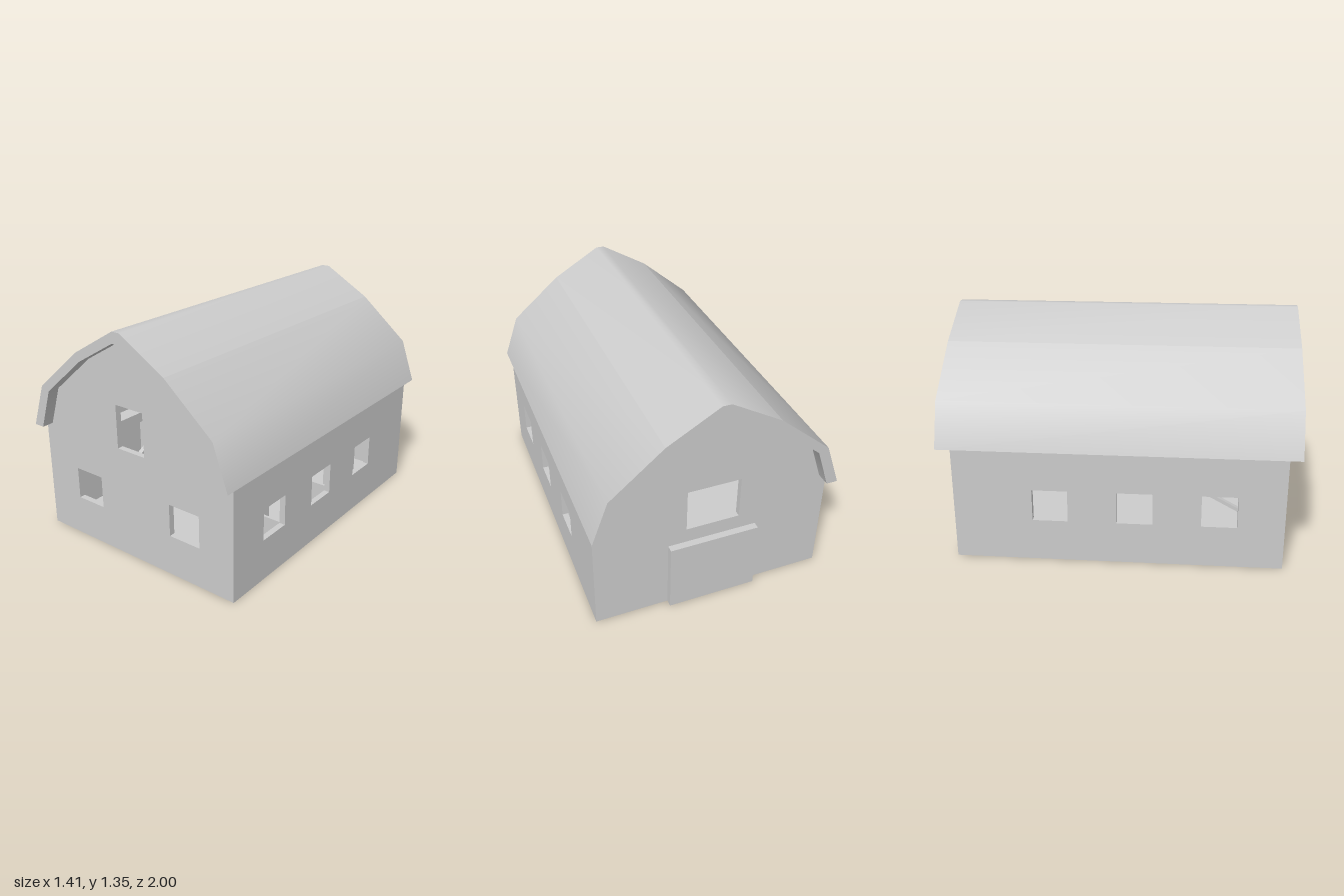
import * as THREE from 'three';
import { toCreasedNormals } from 'three/addons/utils/BufferGeometryUtils.js';

const material = new THREE.MeshStandardMaterial({ color: 0xcccccc });

const shapeOf = (points) => new THREE.Shape(points.map(([x, y]) => new THREE.Vector2(x, y)));

// Adds a rectangular opening to a shape
function cut(shape, x0, x1, y0, y1) {
  shape.holes.push(new THREE.Path([[x0, y0], [x0, y1], [x1, y1], [x1, y0]].map(([x, y]) => new THREE.Vector2(x, y))));
}

const rect = (x0, x1, y0, y1) => shapeOf([[x0, y0], [x1, y0], [x1, y1], [x0, y1]]);
const extrude = (shape, depth) => new THREE.ExtrudeGeometry(shape, { depth, bevelEnabled: false });
const mirrorX = (points) => points.map(([x, y]) => [-x, y]).reverse();

export function createModel() {
  const barn = new THREE.Group();
  barn.name = 'barn';

  function add(name, geometry, x = 0, y = 0, z = 0) {
    const mesh = new THREE.Mesh(geometry, material);
    mesh.name = name;
    mesh.position.set(x, y, z);
    barn.add(mesh);
    return mesh;
  }
  const box = (name, w, h, d, x, y, z) => add(name, new THREE.BoxGeometry(w, h, d), x, y, z);

  // Gable walls, their tops tucked into the roof thickness
  const thick = 0.035;
  const half = [[0.685, 0], [0.685, 0.667], [0.66, 0.67], [0.58, 0.91], [0.3, 1.145], [0.027, 1.3]];
  const gable = [...half, ...mirrorX(half)];

  const front = shapeOf(gable);
  cut(front, -0.105, 0.09, 0.655, 0.91);
  cut(front, -0.45, -0.255, 0.24, 0.43);
  cut(front, 0.255, 0.46, 0.24, 0.43);
  add('frontWall', extrude(front, thick), 0, 0, 0.93 - thick);

  const back = shapeOf(gable);
  cut(back, -0.155, 0.155, 0.52, 0.78);
  add('backWall', extrude(back, thick), 0, 0, -0.92);

  // Side walls with three windows each; shape x becomes -z
  for (const side of [-1, 1]) {
    const wall = rect(-0.93 + thick, 0.92 - thick, 0, 0.68);
    for (const z of [0.57, 0.1, -0.375]) cut(wall, -z - 0.1, -z + 0.1, 0.245, 0.43);
    const geometry = extrude(wall, thick).rotateY(Math.PI / 2);
    add(side > 0 ? 'leftWall' : 'rightWall', geometry, side > 0 ? 0.685 - thick : -0.685);
  }

  // Roof: a ridge section and two curved side sections
  const ridge = [[0.315, 1.175], [0.025, 1.345], [-0.025, 1.345], [-0.315, 1.175],
    [-0.288, 1.13], [-0.03, 1.28], [0.03, 1.28], [0.288, 1.13]];
  const slope = [[0.705, 0.665], [0.615, 0.92], [0.315, 1.175], [0.288, 1.13], [0.56, 0.9], [0.64, 0.665]];
  const roofs = { roofRidge: ridge, leftRoofSlope: slope, rightRoofSlope: mirrorX(slope) };
  for (const [name, points] of Object.entries(roofs)) {
    add(name, toCreasedNormals(extrude(shapeOf(points), 2), 0.7), 0, 0, -1);
  }

  // Barn door on the back wall
  box('backDoor', 0.52, 0.43, 0.04, 0, 0.215, -0.94);

  // Floor with post sockets and partition slots; shape y becomes -z
  const postX = 0.415, postZ = [-0.66, 0.35], stallZ = [0.42, -0.1, -0.35];
  const floor = rect(-0.66, 0.66, -0.905, 0.895);
  for (const x of [-postX, postX]) {
    for (const z of postZ) cut(floor, x - 0.04, x + 0.04, -z - 0.04, -z + 0.04);
  }
  for (const z of stallZ) cut(floor, 0.47, 0.65, -z - 0.008, -z + 0.008);
  add('floor', extrude(floor, 0.02).rotateX(-Math.PI / 2), 0, 0.008, 0);

  // Hollow posts under a long beam on each side
  for (const x of [-postX, postX]) {
    for (const z of postZ) {
      const post = rect(-0.048, 0.048, -0.048, 0.048);
      cut(post, -0.04, 0.04, -0.04, 0.04);
      add('post', extrude(post, 0.57).rotateX(-Math.PI / 2), x, 0.02, z);
    }
    box('beam', 0.096, 0.06, 1.78, x, 0.62, 0);
  }

  // Low stall partitions
  for (const z of stallZ) box('stallPartition', 0.22, 0.2, 0.016, 0.55, 0.12, z);

  // Slanted rail beside a front post
  const rail = box('slantedRail', 0.03, 0.02, 0.38, -postX, 0.29, 0.565);
  rail.rotation.x = 0.5;

  return barn;
}
